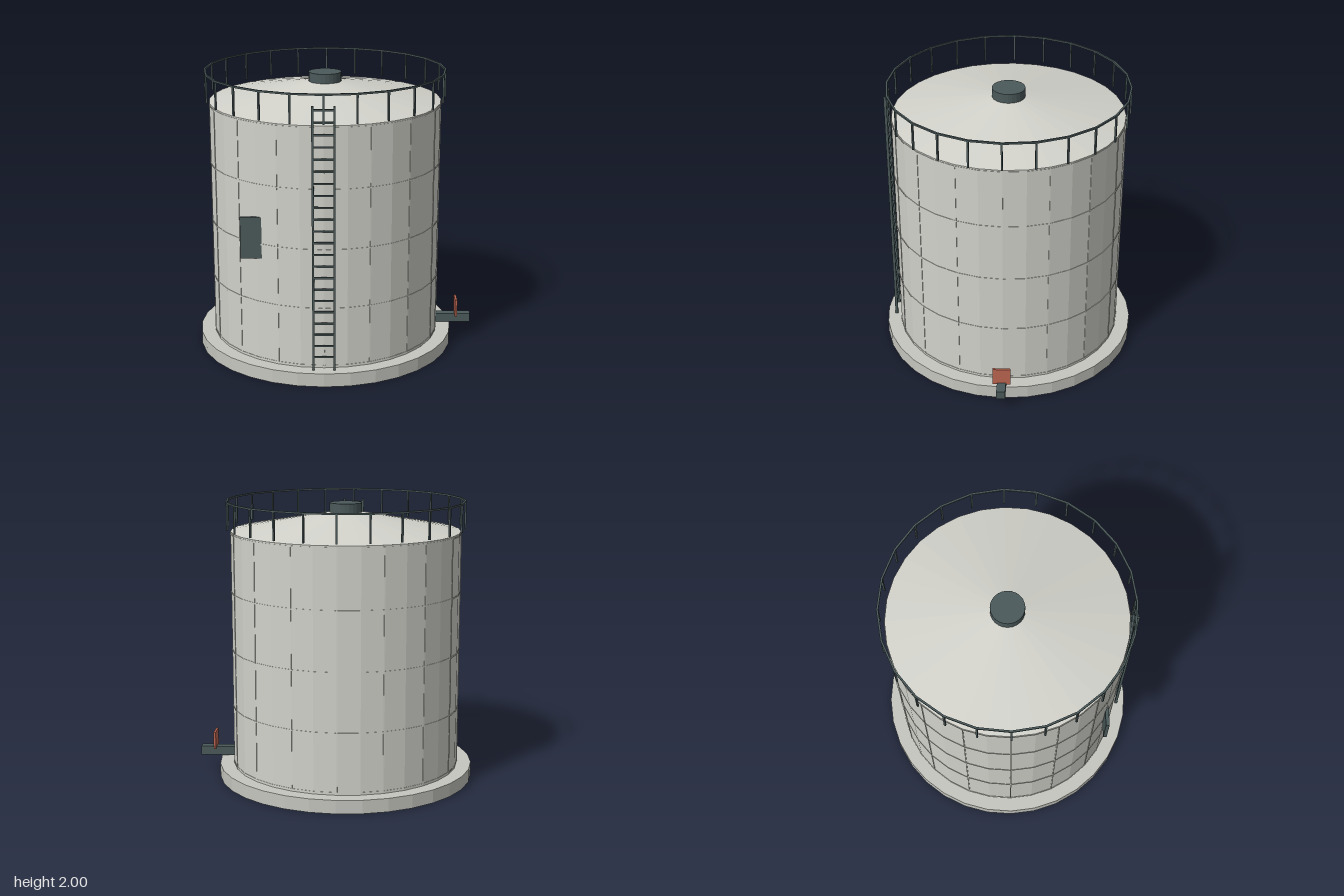
import * as THREE from 'three';

const SIDES = 32;
const WALL_R = 0.813;
const WALL_BOTTOM = 0.095;
const WALL_TOP = 1.785;
const CENTRE_X = -0.076;

const material = (name, color, flatShading = true) => {
  const m = new THREE.MeshStandardMaterial({ color, flatShading });
  m.name = name;
  return m;
};

export function createModel() {
  const shellGrey = material('shell grey', 0xd2d2cb);
  const concrete = material('concrete', 0xc6c6c0);
  const darkSteel = material('dark steel', 0x4b595a);
  const valveRed = material('valve red', 0xbb6550);

  const model = new THREE.Group();
  model.name = 'storageTank';
  const tank = new THREE.Group();
  tank.name = 'tank';
  tank.position.x = CENTRE_X;
  model.add(tank);

  const add = (parent, name, geometry, mat, x = 0, y = 0, z = 0) => {
    const mesh = new THREE.Mesh(geometry, mat);
    mesh.name = name;
    mesh.position.set(x, y, z);
    parent.add(mesh);
    return mesh;
  };
  const group = (name) => {
    const g = new THREE.Group();
    g.name = name;
    tank.add(g);
    return g;
  };
  // Box placed at a radius around the tank axis, facing outward
  const addAround = (parent, name, geometry, mat, angle, radius, y) => {
    const mesh = add(parent, name, geometry, mat, Math.sin(angle) * radius, y, Math.cos(angle) * radius);
    mesh.rotation.y = angle;
    return mesh;
  };

  // Foundation, wall, conical roof and roof hatch
  add(tank, 'foundation', new THREE.CylinderGeometry(0.915, 0.915, WALL_BOTTOM, SIDES), concrete, 0, WALL_BOTTOM / 2);
  const wallH = WALL_TOP - WALL_BOTTOM;
  const wallY = (WALL_TOP + WALL_BOTTOM) / 2;
  add(tank, 'wall', new THREE.CylinderGeometry(WALL_R, WALL_R, wallH, SIDES), shellGrey, 0, wallY);
  add(tank, 'roof', new THREE.ConeGeometry(WALL_R, 0.15, SIDES, 1, true), shellGrey, 0, WALL_TOP + 0.075);
  add(tank, 'roofHatch', new THREE.CylinderGeometry(0.115, 0.115, 0.079, 24), darkSteel, 0, 1.94);

  // Weld seams: slightly proud rings and vertical strips
  const seams = group('weldSeams');
  const ringGeo = new THREE.CylinderGeometry(WALL_R + 0.003, WALL_R + 0.003, 0.01, SIDES);
  for (let i = 0; i < 5; i++) add(seams, 'ringSeam', ringGeo, shellGrey, 0, 0.11 + i * 0.415);
  const stripGeo = new THREE.BoxGeometry(0.008, wallH - 0.04, 0.01);
  for (let i = 0; i < 16; i++) {
    addAround(seams, 'verticalSeam', stripGeo, shellGrey, (i / 16) * Math.PI * 2, WALL_R - 0.002, wallY);
  }

  // Guard rail: posts joined by straight top bars
  const guard = group('guardRail');
  const POSTS = 24;
  const GUARD_R = 0.84;
  const step = (Math.PI * 2) / POSTS;
  const postGeo = new THREE.BoxGeometry(0.012, 0.195, 0.012);
  const barGeo = new THREE.BoxGeometry(2 * GUARD_R * Math.sin(step / 2) + 0.002, 0.012, 0.013);
  for (let i = 0; i < POSTS; i++) {
    addAround(guard, 'guardPost', postGeo, darkSteel, i * step, GUARD_R, 1.8975);
    addAround(guard, 'guardBar', barGeo, darkSteel, (i + 0.5) * step, GUARD_R * Math.cos(step / 2), 1.994);
  }

  // Ladder on the front
  const ladder = group('ladder');
  ladder.position.z = 0.847;
  const railGeo = new THREE.BoxGeometry(0.014, 1.825, 0.02);
  for (const side of [-1, 1]) add(ladder, 'ladderRail', railGeo, darkSteel, side * 0.071, 1.0075);
  const rungGeo = new THREE.BoxGeometry(0.142, 0.012, 0.012);
  for (let i = 0; i < 22; i++) add(ladder, 'ladderRung', rungGeo, darkSteel, 0, 0.19 + i * 0.0812);

  // Blank sign plate, its inner edge sunk into the wall
  add(model, 'signPlate', new THREE.BoxGeometry(0.19, 0.29, 0.025), darkSteel, -0.543, 0.985, 0.681);

  // Outlet pipe and valve plate on the left
  add(model, 'outletPipe', new THREE.BoxGeometry(0.295, 0.064, 0.062), darkSteel, 0.8395, 0.143, 0);
  add(model, 'valvePlate', new THREE.BoxGeometry(0.016, 0.127, 0.125), valveRed, 0.882, 0.2265, 0);

  return model;
}
